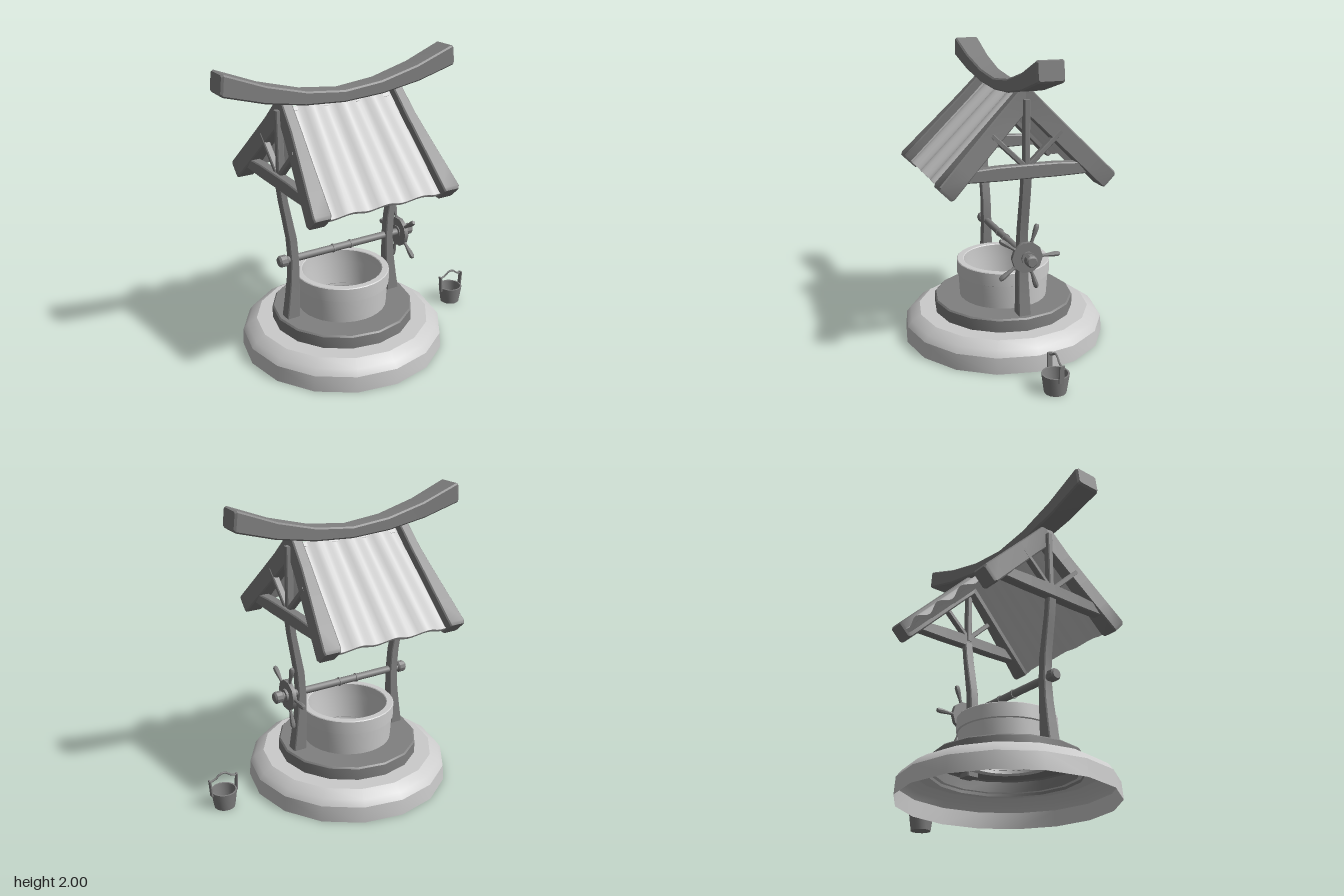
import * as THREE from 'three';
import { toCreasedNormals } from 'three/addons/utils/BufferGeometryUtils.js';

const V = (x, y, z) => new THREE.Vector3(x, y, z);
const CX = -0.117; // axis of the well
const stone = new THREE.MeshStandardMaterial({ color: 0xcccccc });
const stoneOpen = new THREE.MeshStandardMaterial({ color: 0xcccccc, side: THREE.DoubleSide });
const wood = new THREE.MeshStandardMaterial({ color: 0x808080 });
const woodOpen = new THREE.MeshStandardMaterial({ color: 0x808080, side: THREE.DoubleSide });

function add(parent, name, geometry, material, x = 0, y = 0, z = 0) {
  const mesh = new THREE.Mesh(geometry, material);
  mesh.name = name;
  mesh.position.set(x, y, z);
  parent.add(mesh);
  return mesh;
}

// Closed bar through chamfered rectangles; each ring has a centre c and half axes u, v
function loft(rings, chamfer = 0.02) {
  const pos = [], idx = [], n = 8, last = rings.length - 1;
  for (const { c, u, v } of rings) {
    const a = 1 - chamfer / u.length(), b = 1 - chamfer / v.length();
    const corners = [[1, -b], [1, b], [a, 1], [-a, 1], [-1, b], [-1, -b], [-a, -1], [a, -1]];
    for (const [p, q] of corners) pos.push(...c.clone().addScaledVector(u, p).addScaledVector(v, q).toArray());
  }
  for (let i = 0; i < last; i++) for (let j = 0; j < n; j++) {
    const a = i * n + j, b = i * n + (j + 1) % n;
    idx.push(a, b, b + n, a, b + n, a + n);
  }
  for (let j = 1; j < n - 1; j++) idx.push(0, j + 1, j, last * n, last * n + j, last * n + j + 1);
  // Turn the faces outward if the rings run against their axes
  const run = rings[last].c.clone().sub(rings[0].c);
  if (rings[0].u.clone().cross(rings[0].v).dot(run) < 0) idx.reverse();
  const g = new THREE.BufferGeometry();
  g.setAttribute('position', new THREE.Float32BufferAttribute(pos, 3));
  g.setIndex(idx);
  return toCreasedNormals(g, 0.5);
}

// Straight bar in the plane of a gable
function bar(x, [z0, y0], [z1, y1], halfX, half) {
  const side = V(0, z1 - z0, -(y1 - y0)).normalize().multiplyScalar(half);
  const ring = (z, y) => ({ c: V(x, y, z), u: V(halfX, 0, 0), v: side });
  return loft([ring(z0, y0), ring(z1, y1)], 0.006);
}

function lathe(profile, sides) {
  const points = profile.map(([r, y]) => new THREE.Vector2(r, y));
  return toCreasedNormals(new THREE.LatheGeometry(points, sides), 0.55);
}

const cylinderX = (r0, r1, len, sides) =>
  toCreasedNormals(new THREE.CylinderGeometry(r0, r1, len, sides).rotateZ(-Math.PI / 2), 0.7);

function buildBase(g) {
  add(g, 'groundStep', lathe([[0.703, 0], [0.695, 0.11], [0.665, 0.15], [0.6, 0.19], [0.46, 0.19]], 16), stoneOpen, CX);
  add(g, 'plinth', lathe([[0.488, 0.17], [0.488, 0.27], [0.478, 0.28], [0.25, 0.28]], 16), woodOpen, CX);
  add(g, 'wellWall', lathe([[0.25, 0.26], [0.305, 0.26], [0.315, 0.44], [0.325, 0.445], [0.325, 0.535],
    [0.32, 0.54], [0.28, 0.54], [0.275, 0.535], [0.272, 0.44], [0.25, 0.26]], 32), stone, CX);
}

function buildFrame(g) {
  for (const s of [1, -1]) {
    // Bowed post: height, offset from the axis, half width, half depth
    const post = [[0.25, 0.402, 0.048, 0.044], [0.4, 0.388, 0.04, 0.04], [0.55, 0.376, 0.033, 0.036],
      [0.7, 0.371, 0.029, 0.033], [0.85, 0.381, 0.029, 0.032], [1.0, 0.408, 0.026, 0.032],
      [1.12, 0.43, 0.024, 0.032], [1.28, 0.45, 0.024, 0.032]];
    add(g, 'post', loft(post.map(([y, o, w, d]) =>
      ({ c: V(CX + s * o, y, 0), u: V(w, 0, 0), v: V(0, 0, d) })), 0.006), wood);

    // Rafters, flaring outward toward the eaves
    for (const f of [1, -1]) {
      const rafter = [[0, 0.4, 0.034], [0.14, 0.412, 0.038], [0.28, 0.43, 0.045], [0.42, 0.448, 0.054], [0.535, 0.463, 0.061], [0.55, 0.464, 0.054]];
      add(g, 'rafter', loft(rafter.map(([z, o, w], i) => ({
        c: V(CX + s * o, 1.725 - z, f * z),
        u: V(w, 0, 0),
        v: i === 0 ? V(0, 0.093, 0) : V(0, 0.707, f * 0.707).multiplyScalar(i === 5 ? 0.055 : 0.064),
      })), 0.008), wood);
      add(g, 'strut', bar(CX + s * 0.445, [f * 0.01, 1.3], [f * 0.23, 1.51], 0.022, 0.017), wood);
    }
    add(g, 'kingPost', bar(CX + s * 0.44, [0, 1.27], [0, 1.72], 0.024, 0.02), wood);
    const tie = [-0.43, -0.2, 0, 0.2, 0.43].map((z) =>
      ({ c: V(CX + s * 0.457, 1.273 - z * z * 0.03, z), u: V(0.034, 0, 0), v: V(0, Math.abs(z) > 0.4 ? 0.036 : 0.045, 0) }));
    add(g, 'tieBeam', loft(tie, 0.007), wood);
  }
}

function buildRoof(g) {
  // Corrugated slope: one slanted section for each step across the roof
  for (const f of [1, -1]) {
    const rings = [];
    for (let i = 0; i <= 28; i++) {
      const k = i / 14 - 1, wave = 0.02 * Math.cos(k * 0.42 * 2 * Math.PI / 0.245);
      rings.push({
        c: V(CX + k * 0.405, 1.458 + wave * 0.707, f * (0.272 + wave * 0.707)),
        u: V(k * 0.025, -0.272, f * 0.272),
        v: V(0, 0.0106, f * 0.0106),
      });
    }
    add(g, 'roofSheet', loft(rings, 0.001), stone);
  }
  // Sagging ridge beam: offset, centre height, half height, half depth
  const half = [[0, 1.76, 0.038, 0.066], [0.275, 1.783, 0.043, 0.07], [0.55, 1.843, 0.054, 0.078], [0.815, 1.932, 0.066, 0.087], [0.829, 1.937, 0.057, 0.078]];
  const all = [...half.slice(1).reverse().map(([o, ...r]) => [-o, ...r]), ...half];
  add(g, 'ridgeBeam', loft(all.map(([o, y, h, d]) => ({
    c: V(CX + o, y, 0), u: V(-Math.sign(o) * h * 0.12, h, 0), v: V(0, 0, d) })), 0.01), wood);
}

function buildWinch(g) {
  const winch = new THREE.Group();
  winch.name = 'winch';
  winch.position.y = 0.7;
  g.add(winch);
  add(winch, 'axle', cylinderX(0.025, 0.025, 1.0, 12), wood, -0.08);
  for (const x of [-0.185, -0.05]) add(winch, 'axleRing', cylinderX(0.03, 0.03, 0.012, 12), wood, x);
  for (const x of [-0.563, 0.422]) {
    const cap = lathe([[0, -0.032], [0.03, -0.032], [0.04, -0.02], [0.04, 0.02], [0.03, 0.032], [0, 0.032]], 10);
    add(winch, 'axleCap', cap.rotateZ(-Math.PI / 2), wood, x);
  }
  // Hand wheel with five club-shaped handles
  add(winch, 'wheelDisc', cylinderX(0.106, 0.106, 0.028, 10), wood, 0.35);
  add(winch, 'wheelHub', cylinderX(0.045, 0.045, 0.05, 10), wood, 0.355);
  for (let i = 0; i < 5; i++) {
    const handle = lathe([[0, 0.08], [0.011, 0.08], [0.011, 0.13], [0.018, 0.185], [0.018, 0.215], [0.011, 0.228], [0, 0.23]], 8);
    add(winch, 'wheelHandle', handle, wood, 0.35).rotation.x = -Math.PI / 2 + i * Math.PI * 0.4;
  }
}

function buildBucket(g) {
  const bucket = new THREE.Group();
  bucket.name = 'bucket';
  bucket.position.x = 0.845;
  g.add(bucket);
  add(bucket, 'bucketBody', lathe([[0, 0], [0.07, 0], [0.088, 0.125], [0.077, 0.125], [0.064, 0.02], [0, 0.02]], 16), wood);
  for (const s of [1, -1]) {
    add(bucket, 'bucketEar', loft([[0.1, 0.088], [0.218, 0.096]].map(([y, x]) =>
      ({ c: V(s * x, y, 0), u: V(0.006, 0, 0), v: V(0, 0, 0.017) })), 0.003), wood);
  }
  const curve = new THREE.CatmullRomCurve3([V(-0.1, 0.205, 0), V(-0.055, 0.22, 0), V(-0.025, 0.243, 0), V(0, 0.25, 0),
    V(0.025, 0.243, 0), V(0.055, 0.22, 0), V(0.1, 0.205, 0)]);
  add(bucket, 'bucketHandle', new THREE.TubeGeometry(curve, 16, 0.007, 6), wood);
}

export function createModel() {
  const model = new THREE.Group();
  model.name = 'wishingWell';
  buildBase(model);
  buildFrame(model);
  buildRoof(model);
  buildWinch(model);
  buildBucket(model);
  return model;
}
